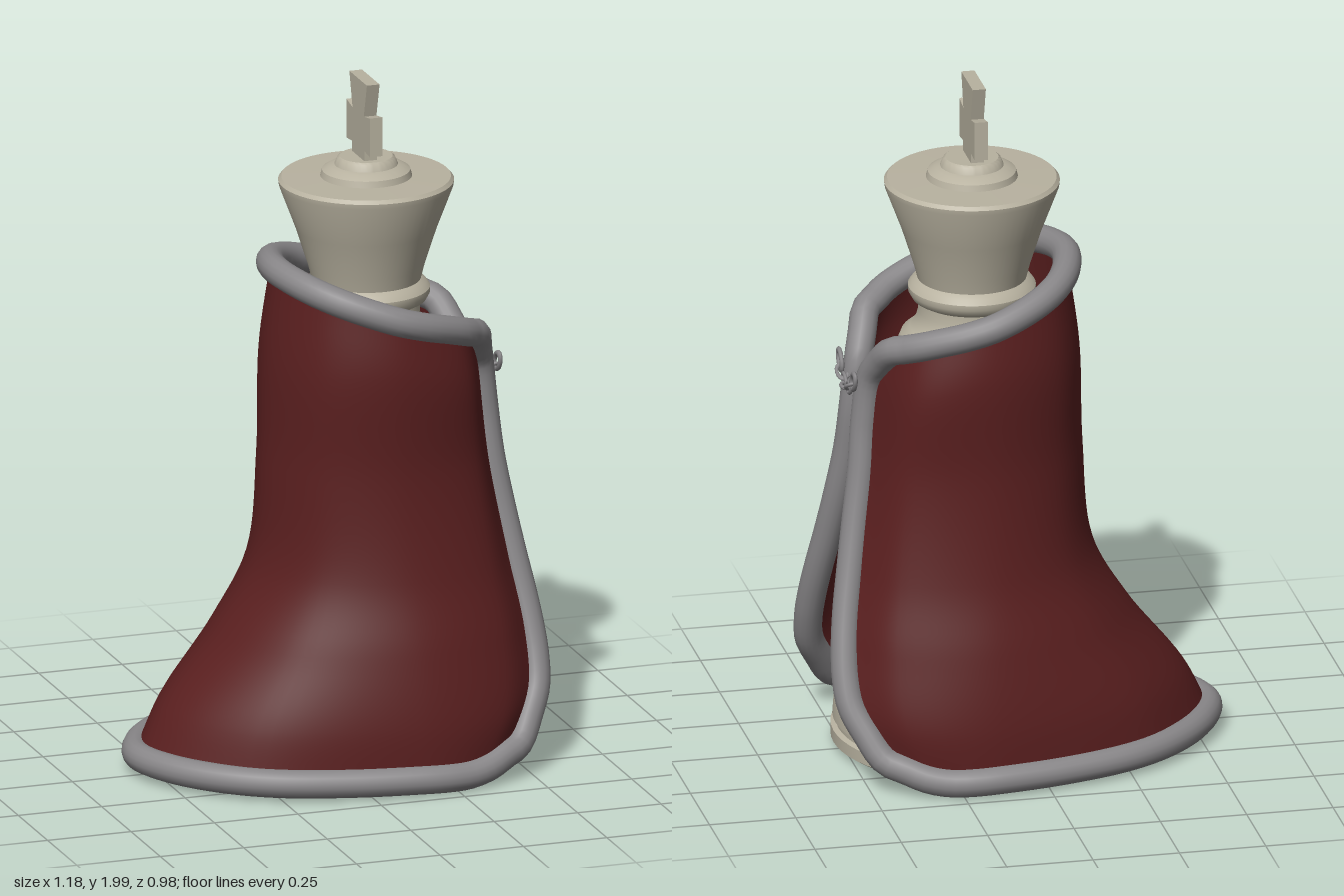
import * as THREE from 'three';
import { toCreasedNormals } from 'three/addons/utils/BufferGeometryUtils.js';

const AXIS_X = 0.13;

// Half of the cape as columns of [x, y, z], hem to neck, from front edge to centre back
const CAPE_COLUMNS = [
  [[.46, .1, .36], [.54, .24, .28], [.545, .4, .215], [.515, .6, .15], [.47, .88, .09], [.44, 1.16, .08], [.4, 1.265, .17]],
  [[.32, .05, .425], [.4, .2, .4], [.42, .4, .345], [.4, .6, .295], [.37, .9, .255], [.345, 1.15, .265], [.31, 1.305, .25]],
  [[.14, .05, .447], [.14, .2, .44], [.14, .4, .4], [.13, .6, .345], [.12, .9, .31], [.12, 1.2, .322], [.13, 1.362, .302]],
  [[-.34, .055, .31], [-.3, .2, .3], [-.19, .4, .275], [-.11, .6, .24], [-.09, .9, .22], [-.085, 1.2, .23], [-.06, 1.428, .212]],
  [[-.55, .06, 0], [-.48, .2, 0], [-.325, .4, 0], [-.215, .6, 0], [-.185, .9, 0], [-.175, 1.2, 0], [-.14, 1.458, 0]],
];

// Sample the mirrored control net into a smooth grid of points
function capeGrid(rows, cols) {
  const mirrored = CAPE_COLUMNS.slice(0, -1).reverse().map((c) => c.map(([x, y, z]) => [x, y, -z]));
  const curves = [...CAPE_COLUMNS, ...mirrored].map(
    (c) => new THREE.CatmullRomCurve3(c.map((p) => new THREE.Vector3(...p))));
  const grid = [];
  for (let i = 0; i <= rows; i++) {
    const row = new THREE.CatmullRomCurve3(curves.map((c) => c.getPoint(i / rows)));
    grid.push(row.getPoints(cols));
  }
  return grid;
}

function gridGeometry(grid) {
  const n = grid[0].length;
  const index = [];
  for (let i = 0; i < grid.length - 1; i++) {
    for (let j = 0; j < n - 1; j++) {
      const a = i * n + j;
      index.push(a, a + n, a + 1, a + 1, a + n, a + n + 1);
    }
  }
  const geo = new THREE.BufferGeometry().setFromPoints(grid.flat());
  geo.setIndex(index);
  geo.computeVertexNormals();
  return geo;
}

export function createModel() {
  const ivory = new THREE.MeshStandardMaterial({ color: 0xb8b2a0 });
  const trimGrey = new THREE.MeshStandardMaterial({ color: 0x888688 });
  const capeRed = new THREE.MeshStandardMaterial({ color: 0x5a1f1f, side: THREE.DoubleSide });
  ivory.name = 'ivory';
  trimGrey.name = 'trimGrey';
  capeRed.name = 'capeRed';

  const model = new THREE.Group();
  model.name = 'cloakedChessKing';
  const add = (name, geo, mat, parent = model) => {
    const mesh = new THREE.Mesh(geo, mat);
    mesh.name = name;
    parent.add(mesh);
    return mesh;
  };
  const lathe = (name, pts) => {
    const geo = new THREE.LatheGeometry(pts.map((p) => new THREE.Vector2(...p)), 64);
    add(name, toCreasedNormals(geo, 0.6), ivory).position.x = AXIS_X;
  };

  // Turned base, body and collars
  lathe('base', [[0, .015], [.385, .015], [.4, .025], [.4, .06], [.385, .065], [.385, .078],
    [.395, .085], [.39, .15], [.375, .2], [.355, .22], [.335, .222], [.335, .27], [.325, .3]]);
  lathe('body', [[.325, .3], [.285, .37], [.25, .47], [.22, .6], [.19, .75], [.168, .92], [.155, 1.08], [.152, 1.16],
    [.175, 1.17], [.2, 1.19], [.21, 1.215], [.2, 1.24], [.175, 1.26], [.16, 1.28], [.152, 1.31], [.152, 1.34],
    [.17, 1.35], [.181, 1.37], [.181, 1.385], [.17, 1.4], [.155, 1.41]]);

  // Flared head and stepped cap
  lathe('head', [[.155, 1.41], [.165, 1.45], [.2, 1.56], [.247, 1.685], [.249, 1.7], [.24, 1.71],
    [.13, 1.712], [.125, 1.73], [.105, 1.742], [.09, 1.746], [.082, 1.765], [.075, 1.77], [0, 1.77]]);

  // Flat cross, thin along x
  const half = [[.053, 1.76], [.053, 1.8], [.1, 1.795], [.1, 1.91], [.048, 1.9], [.075, 2]];
  const outline = [...half, ...half.map(([x, y]) => [-x, y]).reverse()];
  const crossGeo = new THREE.ExtrudeGeometry(new THREE.Shape(outline.map((p) => new THREE.Vector2(...p))),
    { depth: .038, bevelEnabled: false });
  crossGeo.translate(0, 0, -.019).rotateY(Math.PI / 2);
  add('cross', crossGeo, ivory).position.x = AXIS_X - .005;

  // Cape with an open front toward +x
  const grid = capeGrid(48, 80);
  add('cape', gridGeometry(grid), capeRed);

  // Rolled trim following the whole border of the cape
  const rows = grid.length - 1, cols = grid[0].length - 1;
  const border = [];
  for (let i = 0; i < rows; i += 4) border.push(grid[i][0]);
  for (let j = 0; j < cols; j += 4) border.push(grid[rows][j]);
  for (let i = rows; i > 0; i -= 4) border.push(grid[i][cols]);
  for (let j = cols; j > 0; j -= 4) border.push(grid[0][j]);
  add('capeTrim', new THREE.TubeGeometry(new THREE.CatmullRomCurve3(border, true), 240, .041, 16, true), trimGrey);

  // Clasp chain hanging between the two front edges
  const chain = new THREE.Group();
  chain.name = 'claspChain';
  model.add(chain);
  const link = new THREE.TorusGeometry(.016, .0055, 8, 16).scale(1.5, 1, 1).rotateY(Math.PI / 2);
  const LINKS = 7;
  for (let i = 0; i < LINKS; i++) {
    const s = (i / (LINKS - 1)) * 2 - 1;
    const mesh = add('chainLink', link, trimGrey, chain);
    mesh.position.set(.492, 1.105 + .045 * s * s, s * .088);
    const slope = Math.atan2(.09 * s, .088);
    mesh.rotation.set(-slope, 0, i % 2 ? Math.PI / 2 : 0);
    mesh.rotation.order = 'XYZ';
    if (Math.abs(s) === 1) mesh.scale.setScalar(1.25);
  }
  return model;
}
